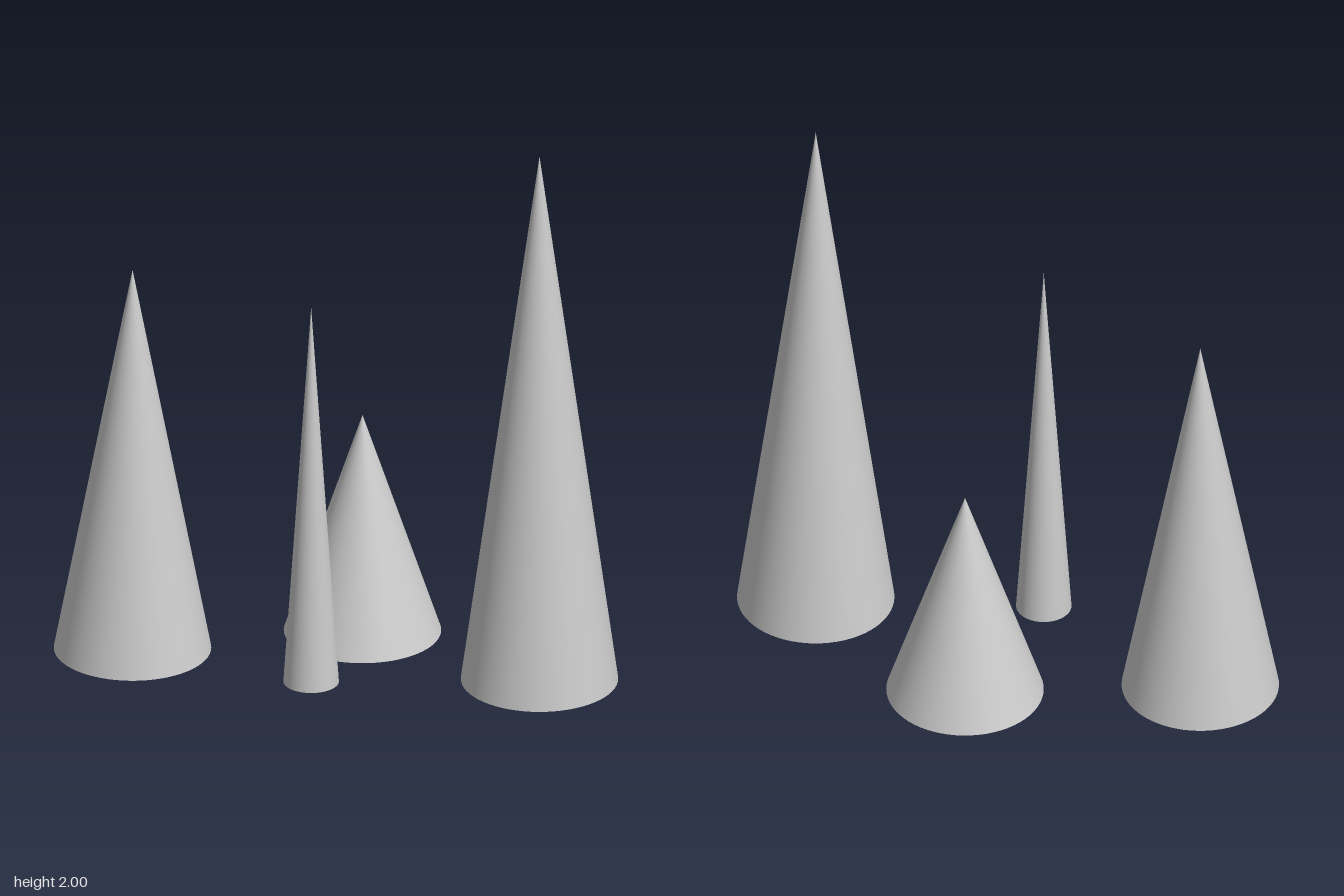
import * as THREE from 'three';

// Each cone: name, centre x and z, base radius, base height, tip height
const CONES = [
  ['tallCone', 0.472, 0.533, 0.272, 0.007, 2.0],
  ['mediumCone', -0.474, -0.533, 0.272, 0.014, 1.455],
  ['shortCone', 0.253, -0.17, 0.272, 0, 0.82],
  ['slimCone', -0.19, 0.098, 0.096, 0.032, 1.46],
];

export function createModel() {
  const group = new THREE.Group();
  group.name = 'coneGroup';
  const material = new THREE.MeshStandardMaterial({ color: 0xcccccc });

  // Smooth round cones with closed bases
  for (const [name, x, z, radius, base, tip] of CONES) {
    const cone = new THREE.Mesh(new THREE.ConeGeometry(radius, tip - base, 64, 8), material);
    cone.name = name;
    cone.position.set(x, (base + tip) / 2, z);
    group.add(cone);
  }
  return group;
}
